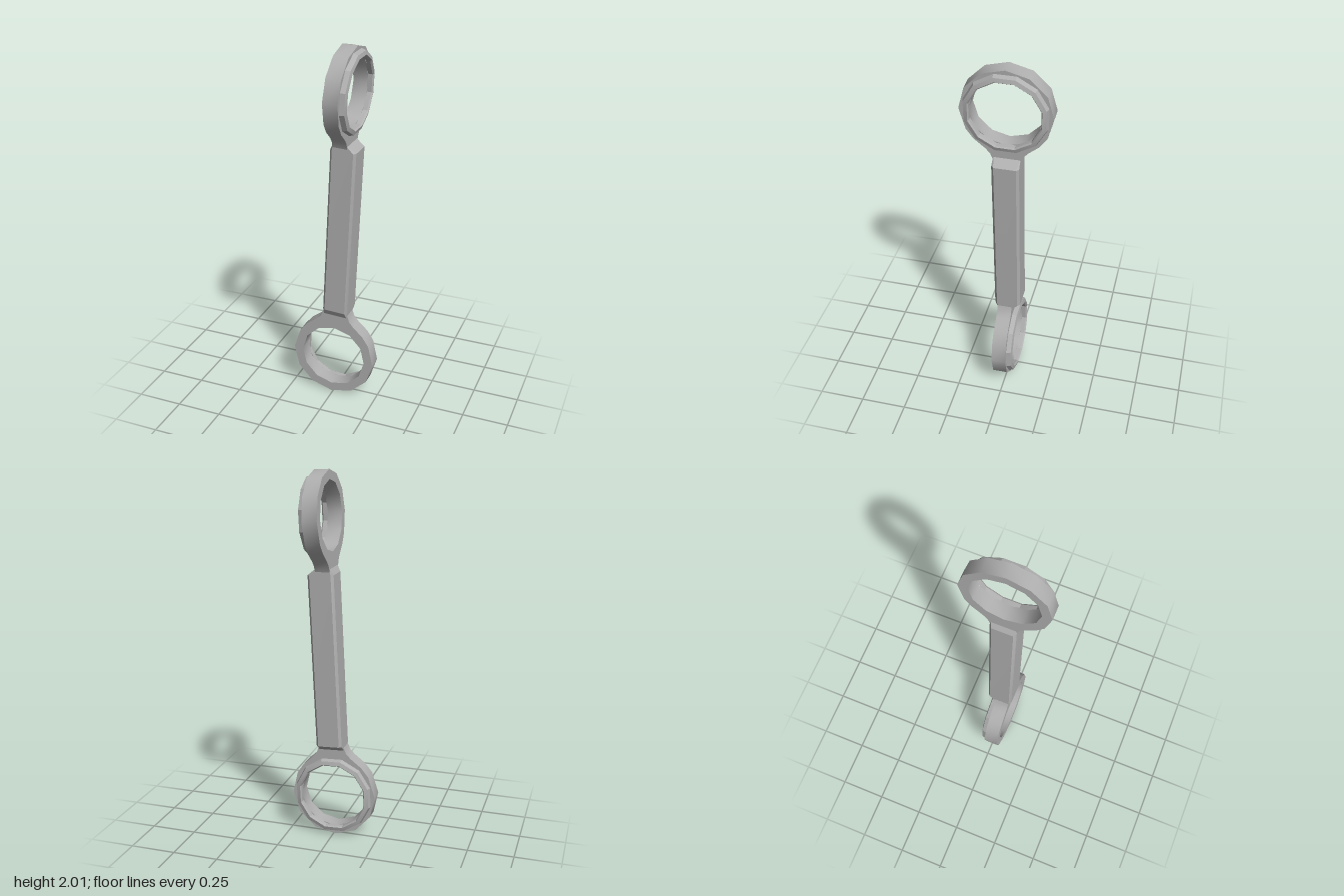
import * as THREE from 'three';
import { toCreasedNormals } from 'three/addons/utils/BufferGeometryUtils.js';

const LENGTH = 1.536; // distance between ring centres
const TILT = -0.048;

// Octagonal (chamfered rectangle) cross-section at height y
function section(y, x0, x1, z0, z1, c = 0.013) {
  return [
    [x1, z0 + c], [x1, z1 - c], [x1 - c, z1], [x0 + c, z1],
    [x0, z1 - c], [x0, z0 + c], [x0 + c, z0], [x1 - c, z0],
  ].map(([x, z]) => [x, y, z]);
}

// Skin a list of sections
function loft(sections) {
  const n = sections[0].length;
  const index = [];
  for (let s = 0; s < sections.length - 1; s++) {
    for (let i = 0; i < n; i++) {
      const a = s * n + i, b = s * n + (i + 1) % n;
      index.push(a, a + n, b, b, a + n, b + n);
    }
  }
  const geo = new THREE.BufferGeometry();
  geo.setAttribute('position', new THREE.Float32BufferAttribute(sections.flat(2), 3));
  geo.setIndex(index);
  return toCreasedNormals(geo, 0.2);
}

const polar = (r, deg) => new THREE.Vector2(
  r * Math.cos(deg * Math.PI / 180), r * Math.sin(deg * Math.PI / 180));

// Ring end with flared neck pointing up +y and a raised collar on -z
function makeEnd(name, steel) {
  const end = new THREE.Group();
  end.name = name;

  // Ring outline: twelve-sided, opening into the neck
  const outline = [];
  for (let deg = 150; deg <= 390; deg += 30) outline.push(polar(0.235, deg));
  const neck = [[0.165, 0.17], [0.108, 0.218], [0.084, 0.245], [0.071, 0.28]];
  neck.forEach(([x, y]) => outline.push(new THREE.Vector2(x, y)));
  neck.slice().reverse().forEach(([x, y]) => outline.push(new THREE.Vector2(-x, y)));
  const shape = new THREE.Shape(outline);
  const hole = [];
  for (let deg = 0; deg < 360; deg += 30) hole.push(polar(0.184, -deg));
  shape.holes.push(new THREE.Path(hole));
  const ringGeo = new THREE.ExtrudeGeometry(shape, { depth: 0.08, bevelEnabled: false });
  ringGeo.translate(0, 0, -0.025);
  const ring = new THREE.Mesh(toCreasedNormals(ringGeo, 0.65), steel);
  ring.name = 'ringWithNeck';

  // Raised collar with a bevelled rim
  const profile = [[0.184, -0.022], [0.184, -0.048], [0.19, -0.056], [0.211, -0.05], [0.219, -0.022]]
    .map(([r, h]) => new THREE.Vector2(r, h));
  const collarGeo = new THREE.LatheGeometry(profile, 12, Math.PI / 12);
  collarGeo.rotateX(Math.PI / 2);
  const collar = new THREE.Mesh(toCreasedNormals(collarGeo, 0.3), steel);
  collar.name = 'collar';

  end.add(ring, collar);
  return end;
}

export function createModel() {
  const steel = new THREE.MeshStandardMaterial({ color: 0xb0b0b0 });
  steel.name = 'grey steel';

  const model = new THREE.Group();
  model.name = 'ringWrench';
  const wrench = new THREE.Group();
  wrench.name = 'wrenchBody';
  wrench.position.y = 0.235;
  wrench.rotation.z = TILT;
  model.add(wrench);

  // Chamfered handle, tapering at each end to meet the neck
  const handle = new THREE.Mesh(loft([
    section(0.265, -0.07, 0.07, -0.025, 0.055, 0.004),
    section(0.298, -0.071, 0.071, -0.071, 0.071),
    section(LENGTH - 0.298, -0.071, 0.071, -0.071, 0.071),
    section(LENGTH - 0.265, -0.055, 0.025, -0.07, 0.07, 0.004),
  ]), steel);
  handle.name = 'handle';

  // Lower ring faces front; upper ring is flipped and turned a quarter
  const lower = makeEnd('lowerEnd', steel);
  const upper = makeEnd('upperEnd', steel);
  upper.quaternion.setFromRotationMatrix(new THREE.Matrix4().makeBasis(
    new THREE.Vector3(0, 0, -1), new THREE.Vector3(0, -1, 0), new THREE.Vector3(-1, 0, 0)));
  upper.position.y = LENGTH;

  wrench.add(handle, lower, upper);
  return model;
}
